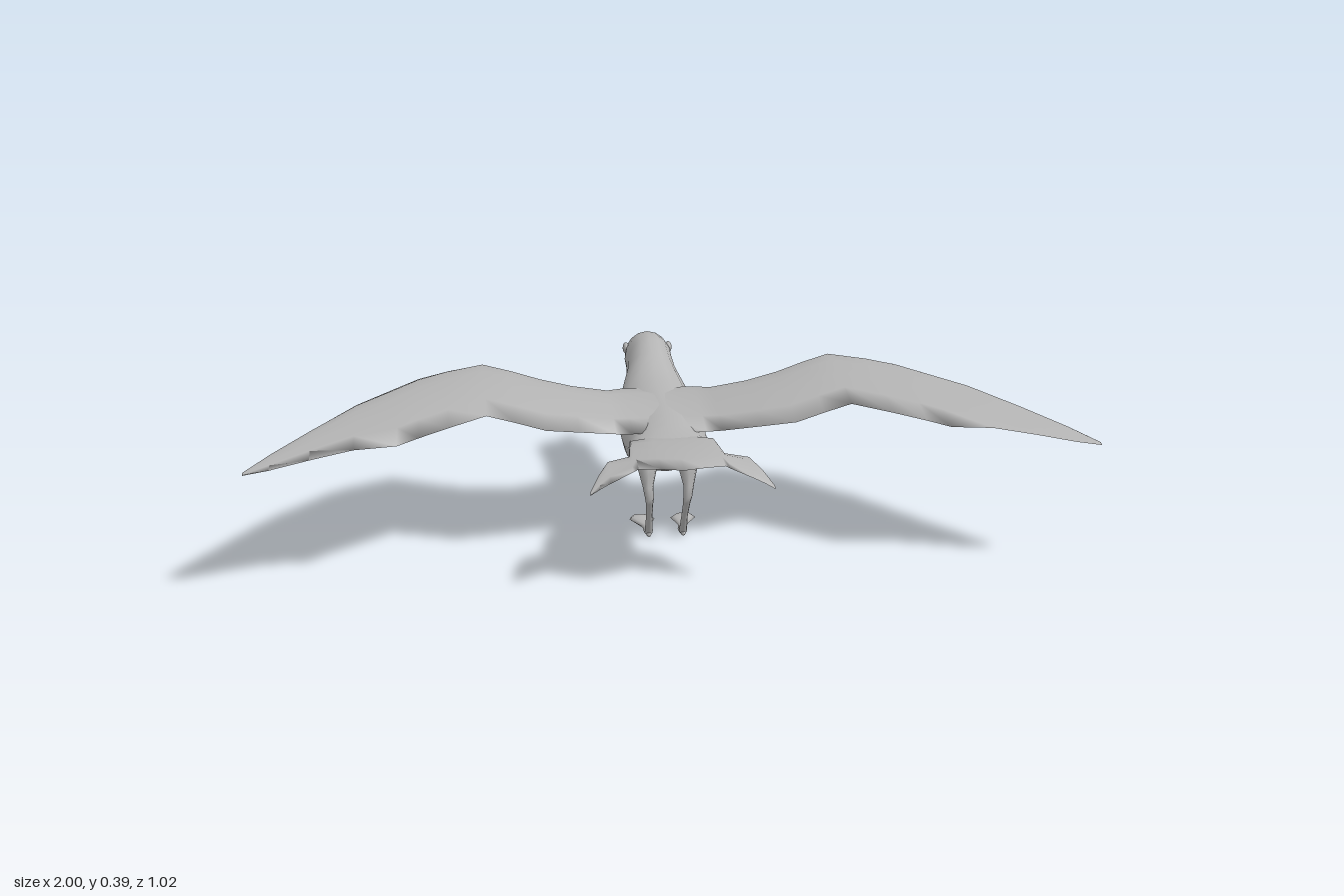
import * as THREE from 'three';

const plumage = new THREE.MeshStandardMaterial({ color: 0xb4b4b4 });
plumage.name = 'plain grey';

// Skin a list of equal-sized point rings, cap both ends, and face it outward
function loft(name, rings) {
  const n = rings[0].length, pos = [], idx = [];
  rings.forEach(r => r.forEach(p => pos.push(...p)));
  for (let i = 0; i < rings.length - 1; i++) for (let j = 0; j < n; j++) {
    const a = i * n + j, b = i * n + (j + 1) % n;
    idx.push(a, b, b + n, a, b + n, a + n);
  }
  [0, rings.length - 1].forEach((k, end) => {
    const c = pos.length / 3;
    for (let d = 0; d < 3; d++) pos.push(rings[k].reduce((s, p) => s + p[d], 0) / n);
    for (let j = 0; j < n; j++) {
      const a = k * n + j, b = k * n + (j + 1) % n;
      idx.push(c, ...(end ? [a, b] : [b, a]));
    }
  });
  // signed volume tells whether the winding must be reversed
  const v = i => new THREE.Vector3().fromArray(pos, i * 3);
  let volume = 0;
  for (let i = 0; i < idx.length; i += 3) volume += v(idx[i]).dot(v(idx[i + 1]).cross(v(idx[i + 2])));
  if (volume < 0) idx.reverse();
  const g = new THREE.BufferGeometry();
  g.setAttribute('position', new THREE.Float32BufferAttribute(pos, 3));
  g.setIndex(idx);
  g.computeVertexNormals();
  const mesh = new THREE.Mesh(g, plumage);
  mesh.name = name;
  return mesh;
}

// Oval ring facing z: z, top, bottom, half width
const oval = (z, top, bottom, w, x = 0, n = 16) => Array.from({ length: n }, (_, i) => {
  const a = i / n * Math.PI * 2;
  return [x + w * Math.cos(a), (top + bottom) / 2 + (top - bottom) / 2 * Math.sin(a), z];
});

// Level ring for the legs: x, y, z, radius
const level = ([x, y, z, r]) => Array.from({ length: 8 }, (_, i) => {
  const a = i / 8 * Math.PI * 2;
  return [x + r * Math.cos(a), y, z + r * Math.sin(a)];
});

// Feathered surface from tip to tip; stations: x, front z, rear z, front y, rear y, thickness
function vane(name, half) {
  const all = [...half.slice(1).reverse().map(([x, ...r]) => [-x, ...r]), ...half];
  const steps = [0, 0.08, 0.25, 0.5, 0.75, 1];
  return loft(name, all.map(([x, z0, z1, y0, y1, t]) => {
    const point = (u, s) => {
      const bulge = u === 0 || u === 1 ? 0 : Math.sqrt(u) * (1 - u) * 2.6;
      const y = y0 + (y1 - y0) * u + t * bulge * (s > 0 ? 0.6 : -0.4);
      return [x, y, z0 + (z1 - z0) * u];
    };
    return [...steps.map(u => point(u, 1)), ...steps.slice(1, -1).reverse().map(u => point(u, -1))];
  }));
}

export function createModel() {
  const bird = new THREE.Group();
  bird.name = 'bird';

  // Head, neck, breast and rump in one smooth skin
  bird.add(loft('body', [
    [-0.435, 0.348, 0.285, 0.026], [-0.42, 0.37, 0.268, 0.044], [-0.395, 0.382, 0.258, 0.058],
    [-0.36, 0.386, 0.25, 0.062], [-0.32, 0.386, 0.24, 0.06], [-0.27, 0.367, 0.221, 0.066],
    [-0.21, 0.342, 0.19, 0.085], [-0.15, 0.328, 0.171, 0.099], [-0.06, 0.322, 0.161, 0.104],
    [0.02, 0.32, 0.157, 0.104], [0.1, 0.32, 0.173, 0.104], [0.16, 0.317, 0.203, 0.1],
    [0.21, 0.313, 0.244, 0.1], [0.26, 0.31, 0.275, 0.1], [0.32, 0.31, 0.293, 0.095], [0.39, 0.313, 0.303, 0.07],
  ].map(r => oval(...r))));

  // Open beak
  bird.add(loft('upperBeak', [
    [-0.41, 0.352, 0.284, 0.036], [-0.44, 0.342, 0.286, 0.024], [-0.465, 0.322, 0.283, 0.017],
    [-0.495, 0.3, 0.279, 0.009], [-0.51, 0.284, 0.277, 0.003],
  ].map(r => oval(...r, 0, 10))));
  bird.add(loft('lowerBeak', [
    [-0.4, 0.285, 0.262, 0.034], [-0.435, 0.269, 0.257, 0.02],
    [-0.47, 0.246, 0.238, 0.012], [-0.497, 0.225, 0.221, 0.003],
  ].map(r => oval(...r, 0, 10))));

  // Spread wings, arched at the wrist
  bird.add(vane('wings', [
    [0, -0.15, 0.18, 0.305, 0.305, 0.025], [0.09, -0.15, 0.18, 0.302, 0.302, 0.035],
    [0.13, -0.112, 0.192, 0.31, 0.308, 0.036], [0.22, -0.095, 0.218, 0.332, 0.325, 0.034],
    [0.3, -0.11, 0.24, 0.35, 0.34, 0.032], [0.37, -0.142, 0.22, 0.364, 0.355, 0.03],
    [0.44, -0.175, 0.2, 0.373, 0.368, 0.03], [0.53, -0.13, 0.27, 0.374, 0.366, 0.026],
    [0.6, -0.09, 0.322, 0.37, 0.362, 0.024], [0.65, -0.035, 0.36, 0.368, 0.358, 0.022],
    [0.75, 0.065, 0.36, 0.36, 0.352, 0.018], [0.85, 0.2, 0.385, 0.348, 0.34, 0.014],
    [0.94, 0.318, 0.41, 0.333, 0.328, 0.01], [1, 0.4, 0.413, 0.321, 0.319, 0.003],
  ]));

  // Fanned tail with drooping corners
  bird.add(vane('tail', [
    [0, 0.2, 0.51, 0.297, 0.33, 0.02], [0.05, 0.2, 0.488, 0.297, 0.326, 0.02],
    [0.1, 0.21, 0.46, 0.293, 0.318, 0.02], [0.112, 0.34, 0.461, 0.303, 0.312, 0.012],
    [0.165, 0.375, 0.472, 0.306, 0.29, 0.012], [0.19, 0.425, 0.478, 0.293, 0.279, 0.008],
    [0.213, 0.475, 0.485, 0.271, 0.267, 0.003],
  ]));

  // Eyes, legs and feet on both sides
  for (const [side, s] of [['left', 1], ['right', -1]]) {
    const eye = new THREE.Mesh(new THREE.SphereGeometry(0.015, 14, 10), plumage);
    eye.name = side + 'Eye';
    eye.scale.x = 0.6;
    eye.position.set(s * 0.056, 0.34, -0.386);
    bird.add(eye);
    bird.add(loft(side + 'Leg', [
      [0.05, 0.235, 0.12, 0.036], [0.05, 0.19, 0.14, 0.022], [0.05, 0.155, 0.154, 0.013],
      [0.047, 0.128, 0.162, 0.011], [0.046, 0.11, 0.152, 0.009], [0.044, 0.06, 0.12, 0.008], [0.043, 0.008, 0.094, 0.01],
    ].map(([x, ...r]) => level([s * x, ...r]))));
    bird.add(loft(side + 'Foot', [
      [0.106, 0.012, 0.002, 0.005, 0.043], [0.085, 0.022, 0.001, 0.012, 0.043], [0.06, 0.018, 0.005, 0.01, 0.045],
      [0.035, 0.019, 0.004, 0.02, 0.049], [0.01, 0.021, 0.003, 0.032, 0.052],
      [-0.01, 0.018, 0.003, 0.022, 0.055], [-0.02, 0.012, 0.004, 0.006, 0.057],
    ].map(([z, t, b, w, x]) => oval(z, t, b, w, s * x, 8))));
  }
  return bird;
}
